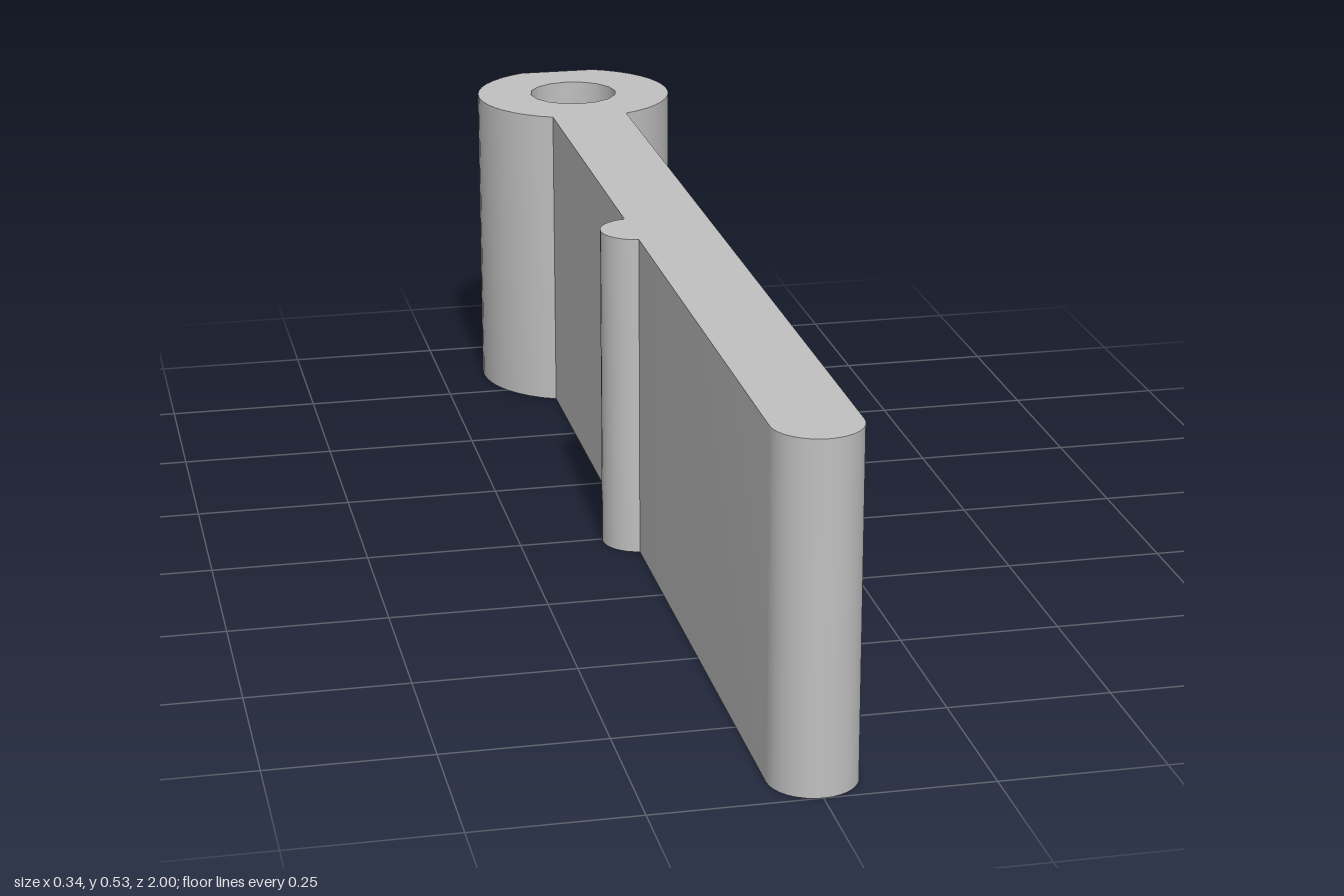
import * as THREE from 'three';
import { toCreasedNormals } from 'three/addons/utils/BufferGeometryUtils.js';

const HEIGHT = 0.528;
const BAR = 0.066;                    // half thickness of the arm
const RING = { y: 0.843, r: 0.172, hole: 0.077 };
const RIB = { x: -0.058, y: -0.01, r: 0.058 };

export function createModel() {
  const model = new THREE.Group();
  const grey = new THREE.MeshStandardMaterial({ color: 0xc0c0c0 });
  grey.name = 'grey';

  // Plan outline, with shape y pointing to the back
  const ringAngle = Math.acos(BAR / RING.r);
  const ribAngle = Math.acos((-BAR - RIB.x) / RIB.r);
  const plan = new THREE.Shape();
  // rounded front end
  plan.absarc(0, -1 + BAR, BAR, Math.PI, Math.PI * 2, false);
  // two sides of the hinge barrel, joined by a flat at the back
  plan.absarc(0, RING.y, RING.r, -ringAngle, ringAngle, false);
  plan.absarc(0, RING.y, RING.r, Math.PI - ringAngle, Math.PI + ringAngle, false);
  // half-round rib on the right face
  plan.absarc(RIB.x, RIB.y, RIB.r, ribAngle, Math.PI * 2 - ribAngle, false);
  plan.closePath();

  // pin hole
  const hole = new THREE.Path();
  hole.absarc(0, RING.y, RING.hole, 0, Math.PI * 2, true);
  plan.holes.push(hole);

  const geometry = new THREE.ExtrudeGeometry(plan, {
    depth: HEIGHT, bevelEnabled: false, curveSegments: 8,
  });
  geometry.rotateX(-Math.PI / 2);

  const arm = new THREE.Mesh(toCreasedNormals(geometry, 0.55), grey);
  arm.name = 'hingeArm';
  model.add(arm);
  return model;
}
